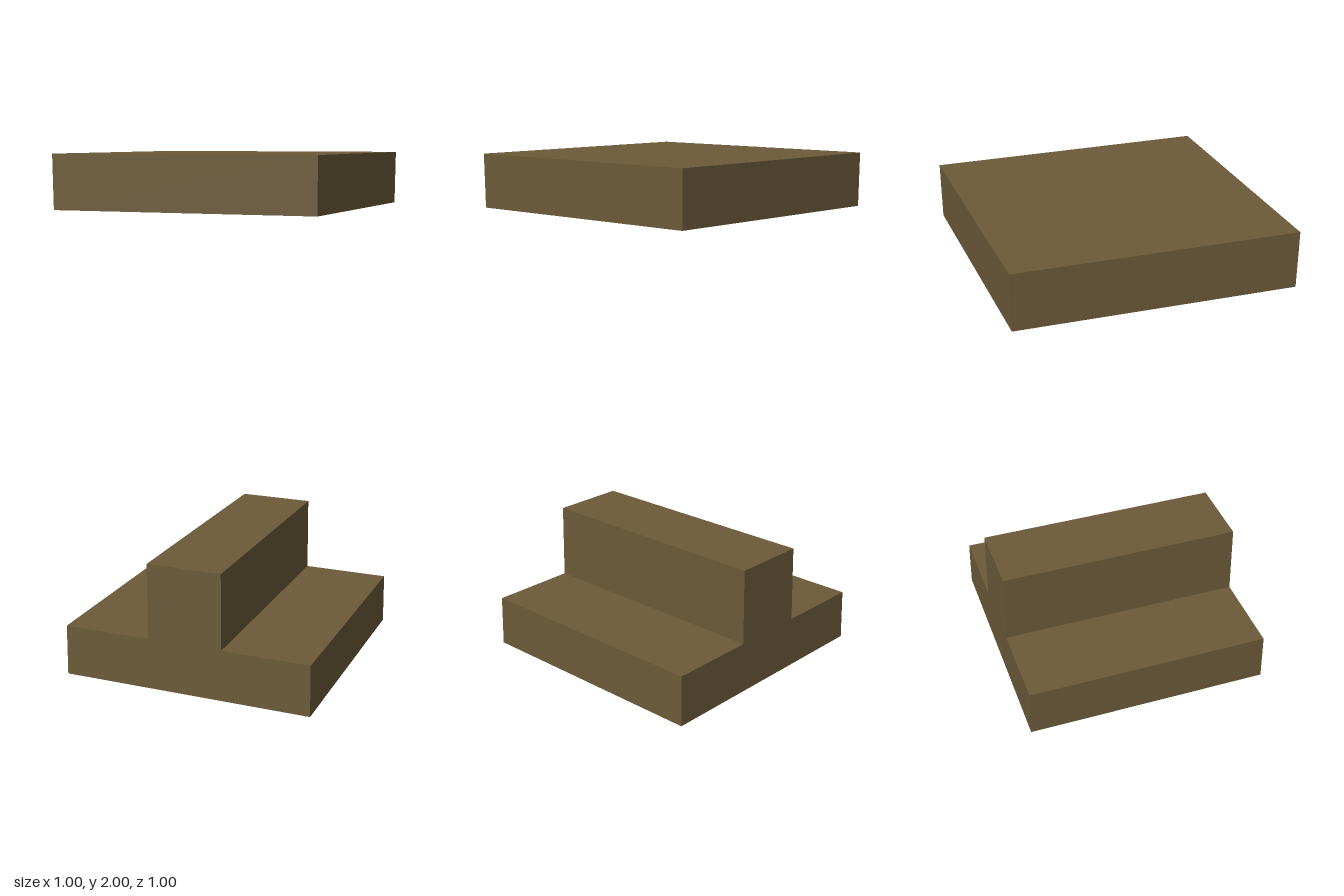
import * as THREE from 'three';

const SIZE = 1;        // width and depth of both slabs
const SLAB = 0.2;      // slab thickness
const RAIL_HALF = 0.15;
const RAIL_TOP = 0.5;
const HEIGHT = 2;

export function createModel() {
  const model = new THREE.Group();
  model.name = 'railAndSlab';

  const brown = new THREE.MeshStandardMaterial({ color: 0x6c5b39 });
  brown.name = 'brown';

  // Lower block: an inverted T profile run from back to front
  const h = SIZE / 2;
  const profile = new THREE.Shape([
    [-h, 0], [h, 0], [h, SLAB], [RAIL_HALF, SLAB],
    [RAIL_HALF, RAIL_TOP], [-RAIL_HALF, RAIL_TOP], [-RAIL_HALF, SLAB], [-h, SLAB],
  ].map(([x, y]) => new THREE.Vector2(x, y)));
  const baseGeometry = new THREE.ExtrudeGeometry(profile, { depth: SIZE, bevelEnabled: false });
  baseGeometry.translate(0, 0, -h);
  const base = new THREE.Mesh(baseGeometry, brown);
  base.name = 'railBase';
  model.add(base);

  // Upper slab, floating clear of the base
  const slab = new THREE.Mesh(new THREE.BoxGeometry(SIZE, SLAB, SIZE), brown);
  slab.name = 'topSlab';
  slab.position.y = HEIGHT - SLAB / 2;
  model.add(slab);

  return model;
}
